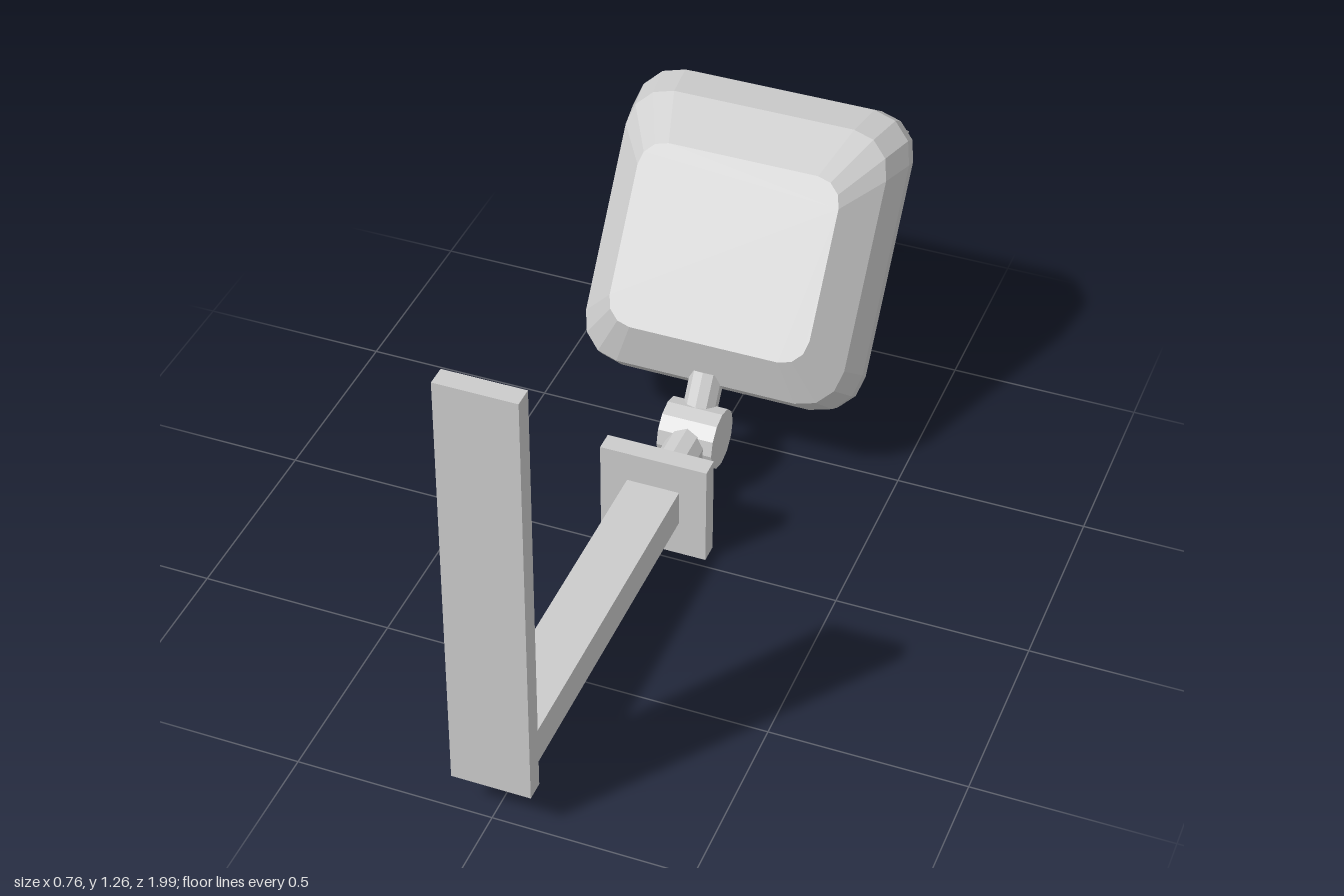
import * as THREE from 'three';

export function createModel() {
  const model = new THREE.Group();
  model.name = 'wallLamp';
  const grey = new THREE.MeshStandardMaterial({ color: 0xcccccc, flatShading: true });
  grey.name = 'plain grey';

  const add = (parent, name, geometry, x, y, z) => {
    const mesh = new THREE.Mesh(geometry, grey);
    mesh.name = name;
    mesh.position.set(x, y, z);
    parent.add(mesh);
    return mesh;
  };
  const box = (parent, name, w, h, d, x, y, z) =>
    add(parent, name, new THREE.BoxGeometry(w, h, d), x, y, z);

  // Bracket: upright plate, horizontal arm and square flange
  box(model, 'mountingPlate', 0.2, 1.16, 0.05, 0, 0.68, 0.975);
  box(model, 'arm', 0.14, 0.1, 0.98, 0, 0.15, 0.46);
  box(model, 'flange', 0.285, 0.285, 0.052, 0, 0.1425, -0.05);

  // Swivel: stub along z and hinge drum along x
  const stub = add(model, 'swivelStub', new THREE.CylinderGeometry(0.054, 0.054, 0.25, 10), 0, 0.15, -0.195);
  stub.rotation.x = Math.PI / 2;
  const hinge = add(model, 'hingeDrum', new THREE.CylinderGeometry(0.08, 0.08, 0.15, 12), 0, 0.15, -0.32);
  hinge.rotation.z = Math.PI / 2;

  // Lamp head, leaning back; local y runs up the lamp, local z out of its front
  const head = new THREE.Group();
  head.name = 'lampHead';
  head.rotation.x = THREE.MathUtils.degToRad(-35);
  model.add(head);
  add(head, 'neck', new THREE.CylinderGeometry(0.045, 0.045, 0.17, 10), 0, 0.38, -0.177);

  // Rounded-rectangle cross-sections: half width, bottom, top, depth, corner radius
  const sections = [
    [0.272, 0.54, 1.022, -0.076, 0.07],
    [0.355, 0.44, 1.155, -0.166, 0.11],
    [0.38, 0.424, 1.215, -0.27, 0.12],
    [0.367, 0.425, 1.216, -0.362, 0.11],
  ];
  add(head, 'lampHousing', loft(sections.map(roundedRing)), 0, 0, 0);

  // Rear cover and cooling fins
  box(head, 'rearPanel', 0.67, 0.322, 0.03, 0, 1.02, -0.363);
  for (let i = 0; i < 9; i++) {
    box(head, 'coolingFin', 0.035, 0.355, 0.04, (i - 4) * 0.073, 0.648, -0.371);
  }
  return model;
}

// Counter-clockwise ring with three facets at each corner
function roundedRing([w, bottom, top, z, r]) {
  const centres = [[w - r, top - r], [r - w, top - r], [r - w, bottom + r], [w - r, bottom + r]];
  const ring = [];
  centres.forEach(([cx, cy], q) => {
    for (let k = 0; k <= 3; k++) {
      const a = (q + k / 3) * Math.PI / 2;
      ring.push([cx + r * Math.cos(a), cy + r * Math.sin(a), z]);
    }
  });
  return ring;
}

// Joins rings from front to back and closes both ends
function loft(rings) {
  const n = rings[0].length, index = [];
  for (let s = 0; s < rings.length - 1; s++) {
    for (let i = 0; i < n; i++) {
      const j = (i + 1) % n, a = s * n, b = a + n;
      index.push(a + i, b + i, b + j, a + i, b + j, a + j);
    }
  }
  const last = (rings.length - 1) * n;
  for (let i = 1; i < n - 1; i++) {
    index.push(0, i, i + 1, last, last + i + 1, last + i);
  }
  const indexed = new THREE.BufferGeometry();
  indexed.setAttribute('position', new THREE.Float32BufferAttribute(rings.flat(2), 3));
  indexed.setIndex(index);
  const geometry = indexed.toNonIndexed();
  geometry.computeVertexNormals();
  return geometry;
}
